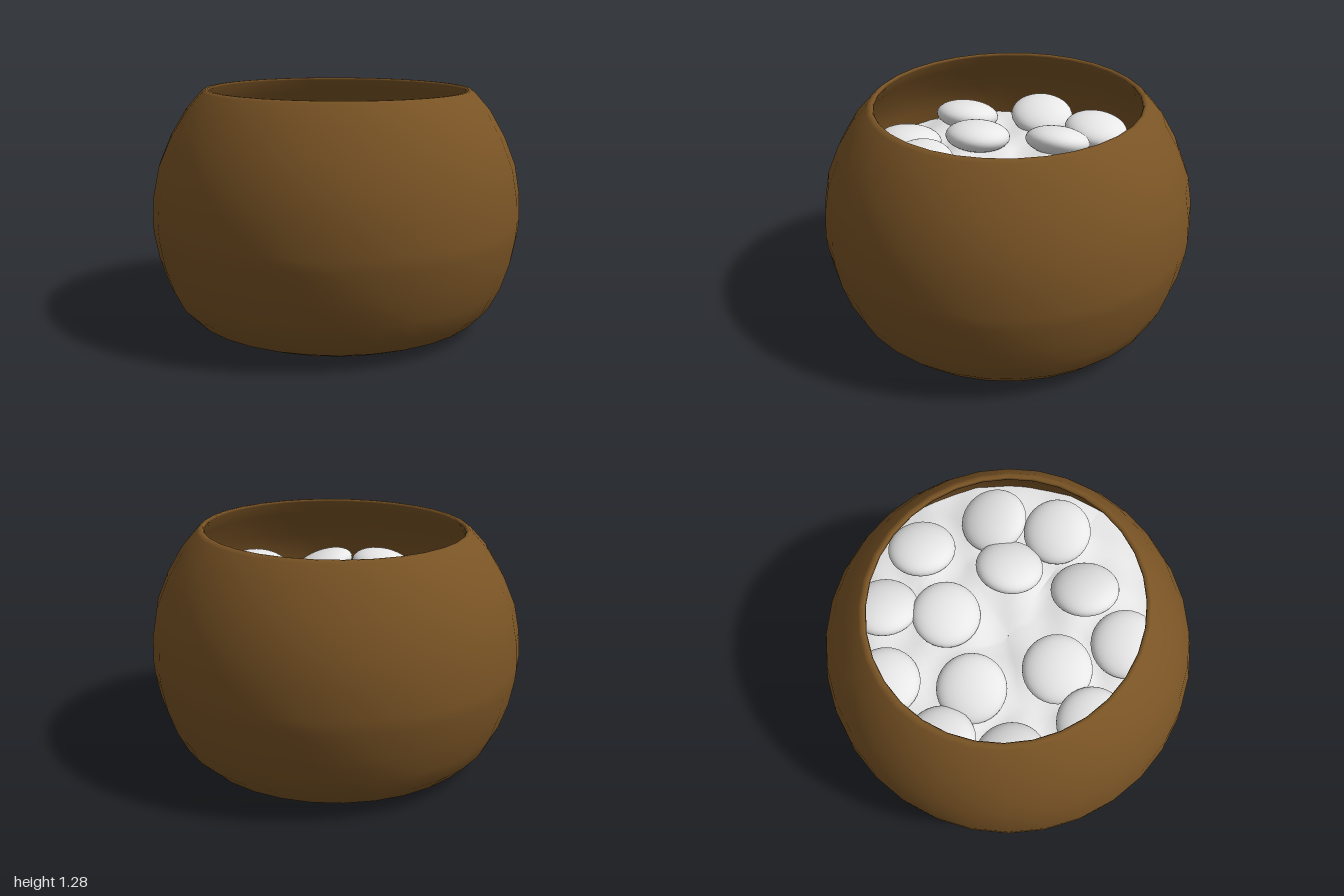
import * as THREE from 'three';

export function createModel() {
  const model = new THREE.Group();
  const wood = new THREE.MeshStandardMaterial({ color: 0x7a5425 });
  wood.name = 'brown wood';
  const white = new THREE.MeshStandardMaterial({ color: 0xf0f0f0 });
  white.name = 'white stone';

  // Bowl: outer wall from base to rim, then down the inside to the floor
  const profile = [
    [0, 0.005], [0.5, 0.008], [0.62, 0.015], [0.72, 0.032], [0.8, 0.068], [0.87, 0.14],
    [0.925, 0.25], [0.97, 0.39], [0.995, 0.53], [1, 0.6], [0.992, 0.74], [0.965, 0.89],
    [0.905, 1.04], [0.825, 1.18], [0.745, 1.272], [0.728, 1.284], [0.712, 1.284],
    [0.705, 1.272], [0.76, 1.19], [0.86, 1.04], [0.92, 0.89], [0.95, 0.7], [0.95, 0.55],
    [0.88, 0.28], [0.7, 0.11], [0, 0.08],
  ].map(([r, y]) => new THREE.Vector2(r, y));
  const bowlGeo = new THREE.LatheGeometry(profile, 32);
  // The mouth is slightly narrower from front to back
  const p = bowlGeo.attributes.position;
  for (let i = 0; i < p.count; i++) {
    const k = Math.max(0, (p.getY(i) - 0.6) / 0.68);
    p.setZ(i, p.getZ(i) * (1 - 0.035 * k * k) - 0.012 * k);
  }
  const bowl = new THREE.Mesh(bowlGeo, wood);
  bowl.name = 'bowl';
  model.add(bowl);

  // Stones: centre x, y, z, then slope along x and z
  const stones = [
    [-0.1, 0.91, -0.33, 0, -0.1], [0.31, 0.93, -0.2, -0.35, 0.1],
    [0.42, 0.94, 0.21, -0.28, 0.25], [-0.04, 0.94, 0.33, 0.15, -0.1],
    [-0.37, 0.93, 0.02, 0.32, -0.2], [-0.25, 0.91, -0.63, -0.25, 0.16],
    [0.14, 0.92, -0.66, -0.22, 0.15], [0.5, 0.92, -0.43, 0.2, 0.2],
    [0.63, 0.93, -0.1, 0.2, 0], [-0.68, 0.91, 0.04, 0.05, 0.1],
    [-0.58, 0.9, -0.38, 0.08, -0.05], [-0.55, 0.92, 0.38, -0.1, 0.2],
    [-0.18, 0.93, 0.63, 0.22, -0.12], [0.28, 0.92, 0.55, 0.15, -0.1],
  ];
  const stoneGeo = new THREE.SphereGeometry(0.183, 32, 20);
  stoneGeo.scale(1, 0.46, 1);
  const up = new THREE.Vector3(0, 1, 0);
  const stoneGroup = new THREE.Group();
  stoneGroup.name = 'stones';
  for (const [x, y, z, sx, sz] of stones) {
    const stone = new THREE.Mesh(stoneGeo, white);
    stone.name = 'stone';
    stone.position.set(x, y, z);
    stone.quaternion.setFromUnitVectors(up, new THREE.Vector3(-sx, 1, -sz).normalize());
    stoneGroup.add(stone);
  }
  model.add(stoneGroup);

  // Uneven fill between the stones, rising where it meets them
  const fillHeight = (x, z) => {
    let lump = 0;
    for (const [sx, , sz] of stones) {
      lump = Math.max(lump, Math.exp(-(((x - sx) ** 2 + (z - sz) ** 2) / 0.045)));
    }
    const ripple = 0.012 * Math.sin(17 * x + 5 * z) * Math.cos(15 * z - 4 * x);
    return 0.85 - 0.05 * (x * x + z * z) + 0.06 * lump + ripple;
  };
  const fillGeo = new THREE.RingGeometry(0.001, 0.93, 64, 24);
  fillGeo.rotateX(-Math.PI / 2);
  const f = fillGeo.attributes.position;
  for (let i = 0; i < f.count; i++) f.setY(i, fillHeight(f.getX(i), f.getZ(i)));
  fillGeo.computeVertexNormals();
  const fill = new THREE.Mesh(fillGeo, white);
  fill.name = 'stoneFill';
  model.add(fill);

  return model;
}
